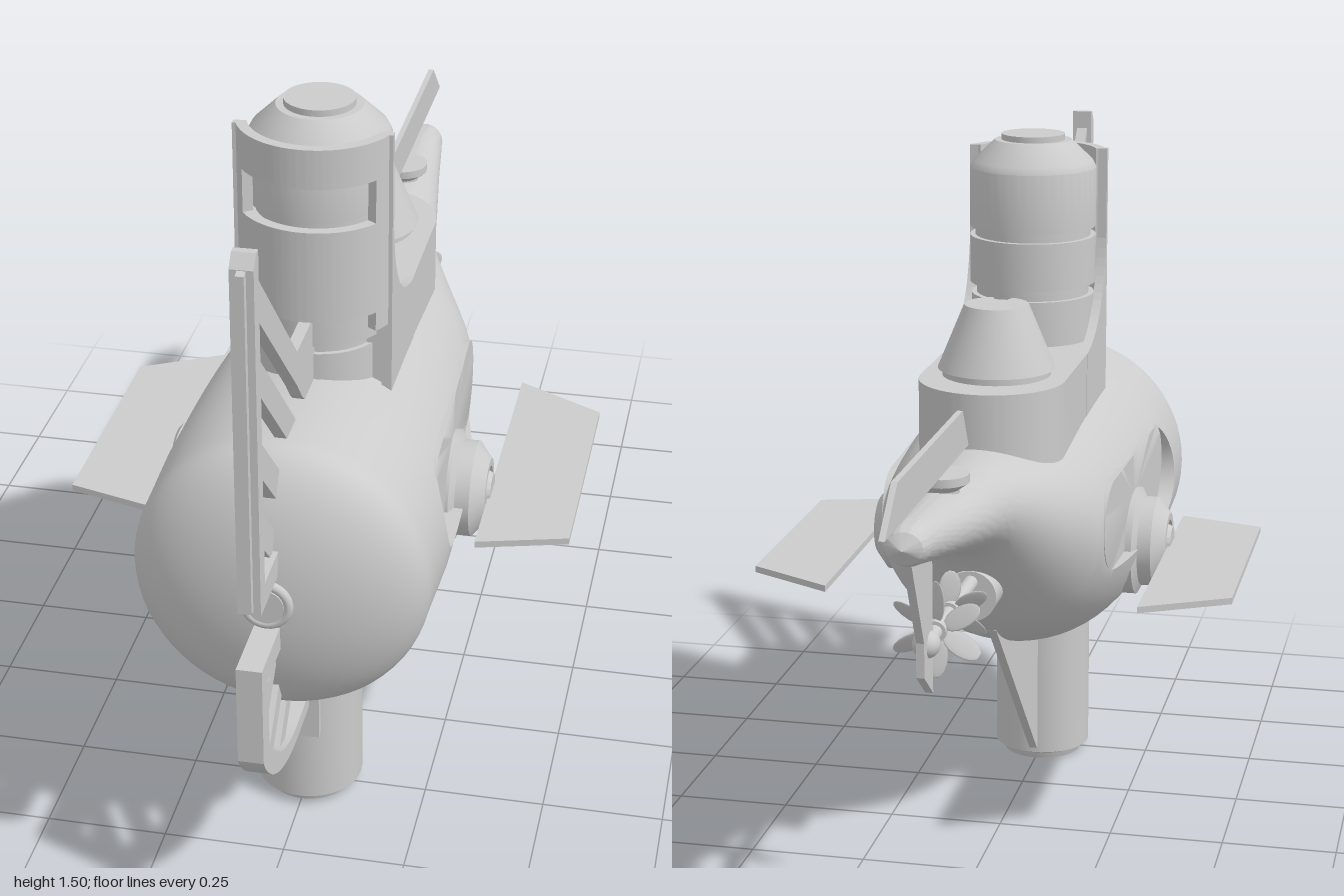
import * as THREE from 'three';
import { toCreasedNormals } from 'three/addons/utils/BufferGeometryUtils.js';

const grey = new THREE.MeshStandardMaterial({ color: 0xcccccc, side: THREE.DoubleSide });
const V2 = (p) => new THREE.Vector2(p[0], p[1]);

// Hull stations: z, top y, bottom y, half width
const STATIONS = [
  [0.72, 0.955, 0.37, 0.293], [0.5, 0.955, 0.365, 0.3], [0.3, 0.955, 0.365, 0.295], [0.15, 0.95, 0.385, 0.283],
  [0, 0.94, 0.44, 0.262], [-0.1, 0.935, 0.5, 0.235], [-0.2, 0.93, 0.595, 0.185], [-0.3, 0.93, 0.7, 0.132],
  [-0.36, 0.93, 0.745, 0.108], [-0.5, 0.933, 0.79, 0.088], [-0.65, 0.938, 0.825, 0.066],
  [-0.8, 0.944, 0.86, 0.046], [-0.84, 0.936, 0.872, 0.036], [-0.86, 0.905, 0.905, 0],
];

// Smooth interpolation of the stations: centre height, half height, half width
function section(z) {
  const S = STATIONS, n = S.length;
  let k = 0;
  while (k < n - 2 && z < S[k + 1][0]) k++;
  const dz = S[k + 1][0] - S[k][0], t = THREE.MathUtils.clamp((z - S[k][0]) / dz, 0, 1);
  const slope = (i, c) => {
    const a = S[Math.max(i - 1, 0)], b = S[Math.min(i + 1, n - 1)];
    return i === 0 ? 0 : ((b[c] - a[c]) / (b[0] - a[0])) * dz;
  };
  const f = (c) => {
    const p = S[k][c], q = S[k + 1][c], m = slope(k, c), o = k + 1 === n - 1 ? q - p : slope(k + 1, c);
    return p + m * t + (3 * (q - p) - 2 * m - o) * t * t + (2 * (p - q) + m + o) * t * t * t;
  };
  const top = f(1), bottom = f(2);
  return { c: (top + bottom) / 2, h: (top - bottom) / 2, w: Math.max(f(3), 0) };
}

// Hull with a rounded slot sunk into each side
function hullGeometry() {
  const N = 64, J0 = 10, J1 = 22, pos = [], rows = [];
  for (let k = 0; k < 14; k++) {
    const t = (Math.PI / 2) * (1 - k / 14), s = section(0.72), q = Math.cos(t);
    rows.push({ z: 0.72 + 0.135 * Math.sin(t), c: s.c, h: s.h * q, w: s.w * q });
  }
  const first = rows.length;
  for (let k = 0; k <= 79; k++) rows.push({ z: 0.72 - 0.02 * k, ...section(0.72 - 0.02 * k) });
  const I0 = first + 6, I1 = first + 41;
  const point = (i, j) => {
    const r = rows[i], a = (j / N) * Math.PI * 2;
    return [r.w * Math.sin(a), r.c + r.h * Math.cos(a), r.z];
  };
  const tri = (a, b, c) => pos.push(...a, ...b, ...c);
  const quad = (a, b, c, d) => { tri(a, b, c); tri(a, c, d); };
  for (let i = 0; i < rows.length - 1; i++) for (let j = 0; j < N; j++) {
    const m = j < N / 2 ? j : N - 1 - j;
    if (i >= I0 && i < I1 && m >= J0 && m < J1) continue;
    quad(point(i, j), point(i, j + 1), point(i + 1, j + 1), point(i + 1, j));
  }
  // Edge of the opening in the hull grid
  const edge = [];
  for (let j = J0; j < J1; j++) edge.push(point(I0, j));
  for (let i = I0; i < I1; i++) edge.push(point(i, J1));
  for (let j = J1; j > J0; j--) edge.push(point(I1, j));
  for (let i = I1; i > I0; i--) edge.push(point(i, J0));
  // Rings: opening edge, blends along the hull, slot lip, slot floor
  const onHull = (y, z) => {
    const s = section(z);
    return [s.w * Math.sqrt(Math.max(0, 1 - ((y - s.c) / s.h) ** 2)), y, z];
  };
  const lip = edge.map(([, y, z]) => {
    const core = THREE.MathUtils.clamp(z, 0.018, 0.472), l = Math.hypot(y - 0.712, z - core);
    return onHull(0.712 + ((y - 0.712) / l) * 0.098, core + ((z - core) / l) * 0.098);
  });
  const blend = (t) => edge.map((e, k) => onHull(e[1] + (lip[k][1] - e[1]) * t, e[2] + (lip[k][2] - e[2]) * t));
  const floorX = (z) => 0.243 + 0.035 * (z + 0.08);
  const floor = lip.map(([, y, z]) => [floorX(z), y, z]);
  const rings = [edge, blend(0.33), blend(0.67), lip, floor], centre = [floorX(0.245), 0.712, 0.245];
  for (const s of [1, -1]) {
    const f = ([x, y, z]) => [s * x, y, z];
    const side = (a, b, c) => (s > 0 ? tri(a, b, c) : tri(f(a), f(c), f(b)));
    for (let k = 0; k < edge.length; k++) {
      const n = (k + 1) % edge.length;
      for (let r = 0; r < 4; r++) {
        side(rings[r][k], rings[r][n], rings[r + 1][n]);
        side(rings[r][k], rings[r + 1][n], rings[r + 1][k]);
      }
      side(floor[k], floor[n], centre);
    }
  }
  const g = new THREE.BufferGeometry();
  g.setAttribute('position', new THREE.Float32BufferAttribute(pos, 3));
  return toCreasedNormals(g, 0.6);
}

export function createModel() {
  const model = new THREE.Group();
  const add = (name, geometry, x = 0, y = 0, z = 0) => {
    const m = new THREE.Mesh(geometry, grey);
    m.name = name;
    m.position.set(x, y, z);
    model.add(m);
    return m;
  };
  // Flat plate drawn in (z, y), thickness t across x
  const plateGeo = (shape, t) =>
    new THREE.ExtrudeGeometry(shape, { depth: t, bevelEnabled: false, curveSegments: 16 }).translate(0, 0, -t / 2).rotateY(-Math.PI / 2);
  const plate = (name, pts, t, x = 0) => add(name, plateGeo(new THREE.Shape(pts.map(V2)), t), x);
  // Plan shape drawn in (x, z), standing from y0 to y1
  const stand = (name, shape, y0, y1) =>
    add(name, toCreasedNormals(new THREE.ExtrudeGeometry(shape, { depth: y1 - y0, bevelEnabled: false, curveSegments: 24 }).rotateX(Math.PI / 2), 0.5), 0, y1);
  const lathe = (pts, n = 40) => toCreasedNormals(new THREE.LatheGeometry(pts.map(V2), n), 0.5);
  const rod = (r, len, n = 24) => new THREE.CylinderGeometry(r, r, len, n).rotateX(Math.PI / 2);

  add('hull', hullGeometry());
  add('noseRing', new THREE.TorusGeometry(0.043, 0.01, 10, 32), 0, 0.672, 0.855);
  add('noseCap', rod(0.036, 0.04), 0, 0.672, 0.845);

  // Tower base, side wings and the front shield with its window
  const base = new THREE.Shape();
  base.moveTo(0.155, 0.41);
  base.lineTo(-0.155, 0.41);
  base.lineTo(-0.155, -0.075);
  base.absarc(0, -0.075, 0.155, Math.PI, Math.PI * 2, false);
  stand('towerBase', base, 0.84, 1.045);
  const wing = new THREE.Shape();
  wing.moveTo(0.42, 0.86);
  wing.lineTo(0.42, 1.46);
  wing.lineTo(0.405, 1.46);
  wing.lineTo(0.405, 1.26);
  wing.bezierCurveTo(0.39, 1.14, 0.32, 1.06, 0.18, 1.045);
  wing.lineTo(0.18, 0.86);
  for (const s of [1, -1]) add('towerWing', plateGeo(wing, 0.02), s * 0.146);
  const shield = (a0, a1, y0, y1) => {
    const s = new THREE.Shape();
    s.absarc(0, 0.36, 0.16, Math.PI / 2 - a1, Math.PI / 2 - a0, false);
    s.absarc(0, 0.36, 0.138, Math.PI / 2 - a0, Math.PI / 2 - a1, true);
    stand('towerShield', s, y0, y1);
  };
  shield(-1.25, -0.95, 1.06, 1.46);
  shield(0.95, 1.25, 1.06, 1.46);
  shield(-0.95, 0.95, 1.1, 1.29);
  shield(-0.95, 0.95, 1.38, 1.46);

  // Stepped column and rear turret
  add('column', lathe([[0.13, 0.86], [0.13, 1.01], [0.12, 1.01], [0.12, 1.03], [0.137, 1.03], [0.137, 1.145], [0.125, 1.145],
    [0.125, 1.17], [0.14, 1.17], [0.14, 1.275], [0.128, 1.275], [0.128, 1.295], [0.14, 1.295], [0.14, 1.425],
    [0.132, 1.44], [0.085, 1.485], [0.07, 1.485], [0.07, 1.498], [0, 1.498]]), 0, 0, 0.35);
  const turretZ = -0.035;
  add('turretFoot', new THREE.CylinderGeometry(0.115, 0.115, 0.04, 40), 0, 1.045, turretZ);
  add('turretShell', new THREE.CylinderGeometry(0.068, 0.124, 0.135, 40, 1, false, 0.32, Math.PI * 2 - 0.64), 0, 1.1275, turretZ);
  add('turretCore', new THREE.CylinderGeometry(0.045, 0.085, 0.12, 32), 0, 1.115, turretZ);
  add('turretSight', new THREE.BoxGeometry(0.05, 0.035, 0.095), 0, 1.165, 0.017);

  // Upper bow cutter: post, blade and slanted bars
  plate('cutterPost', [[0.95, 0.735], [0.985, 0.735], [0.985, 1.44], [0.965, 1.465], [0.95, 1.465]], 0.044);
  plate('cutterBlade', [[0.98, 0.74], [1, 0.75], [1, 1.435], [0.98, 1.44]], 0.016);
  plate('cutterArm', [[0.82, 0.735], [0.96, 0.735], [0.96, 0.785], [0.82, 0.785]], 0.044);
  for (const [y, len] of [[1.27, 0.38], [1.1, 0.26], [0.95, 0.18]])
    plate('cutterBar', [[0.955, y], [0.955, y - 0.075], [0.955 - len, y - 0.075 - len], [0.955 - len, y - len]], 0.024);
  plate('cutterTopBar', [[0.955, 1.43], [0.955, 1.345], [0.62, 1.015], [0.58, 0.97], [0.53, 0.93], [0.42, 0.93], [0.42, 1.09], [0.62, 1.09]], 0.024);

  // Lower bow guard: arm, post, curved rail and struts
  plate('guardArm', [[0.82, 0.57], [0.99, 0.57], [0.99, 0.62], [0.82, 0.62]], 0.05);
  const rail = new THREE.Shape();
  rail.moveTo(1, 0.62);
  rail.lineTo(0.952, 0.62);
  rail.lineTo(0.952, 0.425);
  rail.bezierCurveTo(0.89, 0.34, 0.82, 0.3, 0.72, 0.295);
  rail.lineTo(0.58, 0.295);
  rail.lineTo(0.58, 0.262);
  rail.lineTo(0.72, 0.262);
  rail.bezierCurveTo(0.86, 0.265, 0.96, 0.34, 1, 0.41);
  add('guardRail', plateGeo(rail, 0.05));
  for (const [z, y] of [[0.9, 0.485], [0.835, 0.405], [0.755, 0.34]])
    plate('guardStrut', [[z - 0.09, y + 0.065], [z + 0.06, y - 0.075], [z + 0.085, y - 0.045], [z - 0.06, y + 0.1]], 0.026);
  add('guardMount', new THREE.BoxGeometry(0.09, 0.19, 0.03), 0, 0.28, 0.593);

  // Keel column and fin
  add('keelColumn', lathe([[0, 0], [0.09, 0], [0.095, 0.015], [0.11, 0.022], [0.11, 0.45]]), 0, 0, 0.49);
  plate('keelFin', [[0.4, 0.03], [0.375, 0.035], [-0.08, 0.485], [0.15, 0.55], [0.4, 0.45]], 0.018);

  // Side hubs and diving planes
  for (const s of [1, -1]) {
    const hub = add('sideHub', lathe([[0.12, 0.18], [0.12, 0.265], [0.1, 0.275], [0.1, 0.305], [0.066, 0.333], [0.05, 0.333],
      [0.045, 0.32], [0.035, 0.34], [0, 0.34]]), 0, 0.605, 0.255);
    hub.rotation.z = (-s * Math.PI) / 2;
    stand('divingPlane', new THREE.Shape([[0.335, -0.21], [0.52, -0.11], [0.52, 0.41], [0.335, 0.46]].map(([x, z]) => V2([s * x, z]))), 0.592, 0.606);
  }

  // Stern fin on its pivot, and rudder bracket
  plate('sternFin', [[-0.33, 0.967], [-0.38, 1.05], [-0.905, 1.05], [-1, 0.967]], 0.012);
  add('sternPivot', lathe([[0.035, 0.9], [0.035, 0.935], [0.055, 0.95], [0.055, 0.967], [0, 0.967]], 28), 0, 0, -0.54);
  plate('rudderBracket', [[-0.655, 0.86], [-0.655, 0.555], [-0.725, 0.61], [-0.725, 0.68], [-0.82, 0.87]], 0.016);

  // Shaft with two propellers
  add('shaftHousing', rod(0.054, 0.22, 32), 0, 0.632, -0.18);
  add('shaft', rod(0.015, 0.42), 0, 0.662, -0.47);
  add('shaftEnd', new THREE.SphereGeometry(0.028, 20, 14).scale(1, 1, 1.1), 0, 0.662, -0.675);
  for (const [z, r, twist] of [[-0.475, 0.085, 0.6], [-0.59, 0.1, -0.6]]) {
    const prop = new THREE.Group();
    prop.name = 'propeller';
    prop.position.set(0, 0.662, z);
    prop.add(new THREE.Mesh(rod(0.022, 0.03), grey));
    for (let k = 0; k < 6; k++) {
      const blade = new THREE.Mesh(new THREE.SphereGeometry(1, 12, 8).scale(0.024, r * 0.42, 0.003).rotateY(twist).translate(0, r * 0.58, 0), grey);
      blade.name = 'blade';
      blade.rotation.z = (k * Math.PI) / 3;
      prop.add(blade);
    }
    model.add(prop);
  }
  return model;
}
